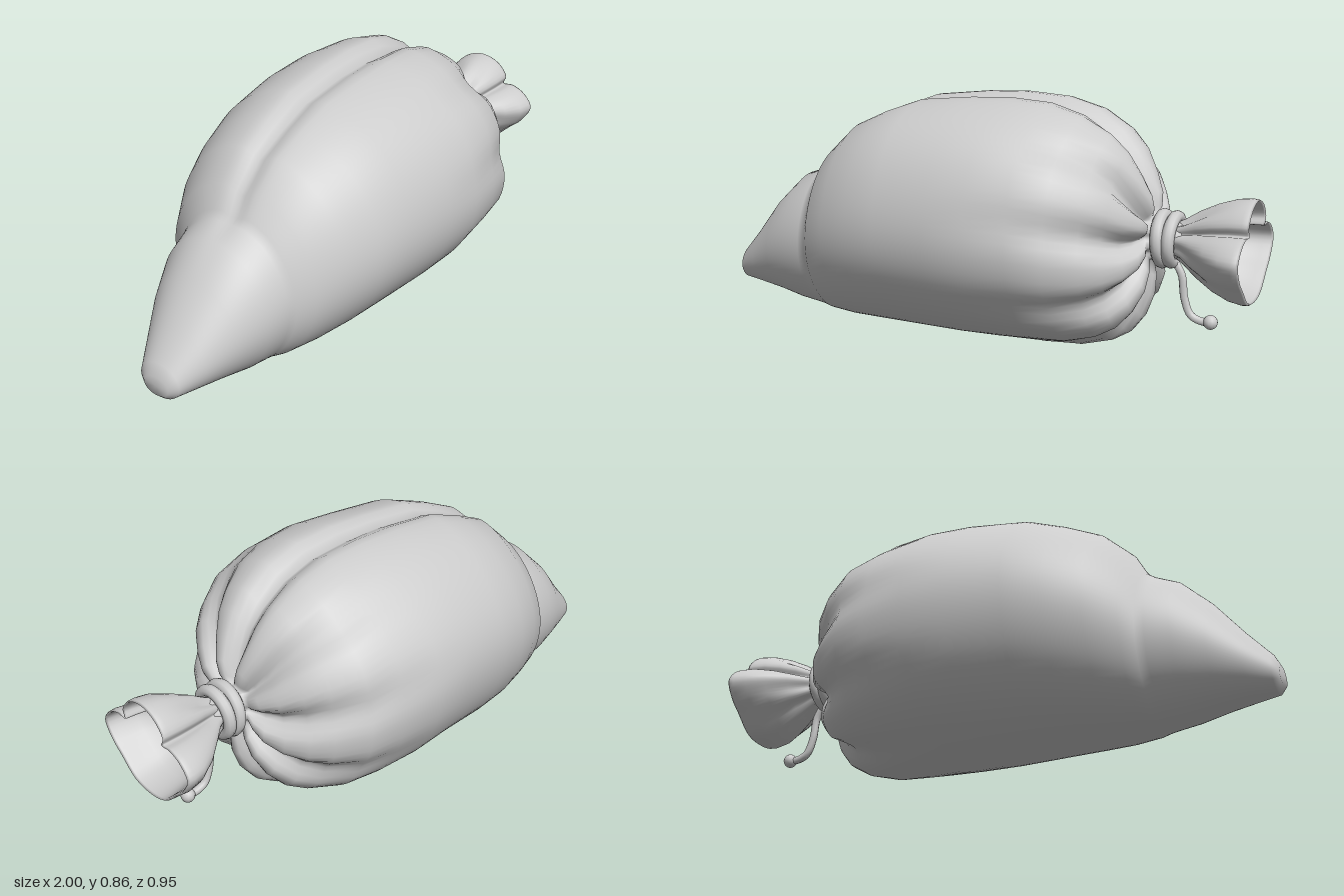
import * as THREE from 'three';

const TAU = Math.PI * 2;

// Skins closed rings of points (ordered along +x, angles running from +y to +z); optional end caps.
function loft(rings, capStart, capEnd) {
  const n = rings[0].length, pos = [], idx = [];
  rings.forEach(r => r.forEach(p => pos.push(p.x, p.y, p.z)));
  for (let i = 0; i < rings.length - 1; i++) {
    for (let j = 0; j < n; j++) {
      const k = (j + 1) % n, a = i * n + j, b = i * n + k;
      idx.push(a, b, a + n, b, b + n, a + n);
    }
  }
  const cap = (ring, start, flip) => {
    const c = new THREE.Vector3();
    ring.forEach(p => c.add(p));
    c.divideScalar(n);
    const m = pos.length / 3;
    pos.push(c.x, c.y, c.z);
    for (let j = 0; j < n; j++) {
      const a = start + j, b = start + (j + 1) % n;
      if (flip) idx.push(m, a, b); else idx.push(m, b, a);
    }
  };
  if (capStart) cap(rings[0], 0, false);
  if (capEnd) cap(rings[rings.length - 1], (rings.length - 1) * n, true);
  const g = new THREE.BufferGeometry();
  g.setAttribute('position', new THREE.Float32BufferAttribute(pos, 3));
  g.setIndex(idx);
  g.computeVertexNormals();
  return g;
}

// Sack sections: x, lowest y, highest y, half width, pleat depth, top furrow depth
const SECTIONS = [
  [-1.0, 0.10, 0.17, 0.05, 0, 0],
  [-0.98, 0.08, 0.21, 0.08, 0, 0],
  [-0.9, 0.07, 0.30, 0.125, 0, 0],
  [-0.8, 0.055, 0.425, 0.18, 0, 0],
  [-0.7, 0.035, 0.52, 0.225, 0, 0],
  [-0.62, 0.025, 0.555, 0.242, 0, 0.01],
  [-0.59, 0.02, 0.575, 0.25, 0, 0.02],
  [-0.55, 0.015, 0.65, 0.30, 0, 0.03],
  [-0.45, 0.007, 0.745, 0.355, 0, 0.035],
  [-0.33, 0.007, 0.80, 0.405, 0, 0.035],
  [-0.2, 0.01, 0.845, 0.44, 0, 0.035],
  [0, 0.01, 0.868, 0.465, 0, 0.035],
  [0.15, 0.007, 0.878, 0.478, 0.005, 0.04],
  [0.3, 0.007, 0.868, 0.468, 0.02, 0.04],
  [0.42, 0.012, 0.835, 0.445, 0.04, 0.04],
  [0.52, 0.035, 0.78, 0.375, 0.08, 0.035],
  [0.58, 0.07, 0.72, 0.315, 0.13, 0.02],
  [0.625, 0.13, 0.64, 0.24, 0.2, 0],
  [0.655, 0.21, 0.57, 0.17, 0.25, 0],
  [0.66, 0.28, 0.52, 0.12, 0.2, 0],
  [0.65, 0.33, 0.49, 0.08, 0.05, 0],
  [0.7, 0.34, 0.48, 0.07, 0, 0],
  [0.76, 0.35, 0.47, 0.06, 0, 0],
];

function sackGeometry() {
  const N = 90;
  const rings = SECTIONS.map(([x, lo, hi, w, pleat, furrow]) => {
    const cy = (lo + hi) / 2, h = (hi - lo) / 2;
    return Array.from({ length: N }, (_, j) => {
      const t = j / N * TAU;
      // Gathered folds pinch inwards and back from the neck
      const fold = pleat * Math.pow(0.5 + 0.5 * Math.cos(9 * t), 2);
      // Soft irregular sag of the cloth
      const sag = 1 - Math.min(h, w) * 0.025 * (1 + Math.sin(4 * t + x * 5) * Math.cos(x * 7 - 2 * t));
      const s = (1 - fold) * sag;
      const z = Math.sin(t) * w * s;
      let y = cy + Math.cos(t) * h * s;
      if (Math.cos(t) > 0) y -= furrow * Math.exp(-Math.pow(z / 0.04, 2));
      return new THREE.Vector3(x - fold * 0.18, y, z);
    });
  });
  return loft(rings, true, true);
}

// Open gathered mouth: outer wall, rolled lip and inner wall
function mouthGeometry() {
  const half = [[0.07, 0.55], [0.11, 0.50], [0.10, 0.468], [0.14, 0.47], [0.19, 0.45], [0.23, 0.40],
    [0.2, 0.34], [0.15, 0.295], [0.08, 0.237]];
  const outline = [[0, 0.572], ...half, [0, 0.222], ...half.slice().reverse().map(([z, y]) => [-z, y])];
  const curve = new THREE.CatmullRomCurve3(outline.map(([z, y]) => new THREE.Vector3(0, y, z)), true);
  const rim = Array.from({ length: 80 }, (_, j) => curve.getPoint(j / 80));
  // Stations: x, spread from neck to rim, ripple
  const stations = [[0.72, 0, 0], [0.76, 0.13, 0.008], [0.81, 0.42, 0.014], [0.87, 0.74, 0.012],
    [0.93, 0.95, 0.006], [0.975, 1.01, 0], [0.993, 1, 0], [1.0, 0.965, 0], [0.993, 0.93, 0],
    [0.965, 0.91, 0], [0.9, 0.8, 0], [0.84, 0.5, 0], [0.78, 0.15, 0], [0.75, -0.2, 0]];
  const rings = stations.map(([x, s, ripple]) => rim.map(p => {
    const a = Math.atan2(p.z, p.y - 0.4);
    const r = 0.055 + ripple * Math.cos(9 * a);
    const neck = new THREE.Vector3(0, 0.41 + r * Math.cos(a), r * Math.sin(a));
    const q = s < 0 ? neck.set(0, 0.41 + 0.02 * Math.cos(a), 0.02 * Math.sin(a)) : neck.lerp(p, s);
    q.x = x;
    return q;
  }));
  return loft(rings, false, true);
}

export function createModel() {
  const group = new THREE.Group();
  const cloth = new THREE.MeshStandardMaterial({ color: 0xcccccc });
  cloth.name = 'grey cloth';
  const add = (name, geometry) => {
    const m = new THREE.Mesh(geometry, cloth);
    m.name = name;
    group.add(m);
    return m;
  };

  add('sack', sackGeometry());
  add('mouth', mouthGeometry());

  // Cord wound twice around the neck
  [[0.683, 0.08, 0.05], [0.72, 0.077, -0.04]].forEach(([x, r, tilt], i) => {
    const ring = add('cordLoop' + (i + 1), new THREE.TorusGeometry(r, 0.022, 10, 32));
    ring.position.set(x, 0.41, 0);
    ring.rotation.set(0, Math.PI / 2, tilt, 'ZYX');
  });

  // Hanging cord end with a knot
  const path = new THREE.CatmullRomCurve3([[0.725, 0.335], [0.75, 0.29], [0.762, 0.21], [0.785, 0.155],
    [0.82, 0.138], [0.865, 0.138]].map(([x, y]) => new THREE.Vector3(x, y, 0)));
  add('cordEnd', new THREE.TubeGeometry(path, 24, 0.014, 8));
  const knot = add('cordKnot', new THREE.SphereGeometry(0.025, 12, 8));
  knot.position.set(0.855, 0.138, 0);
  return group;
}
